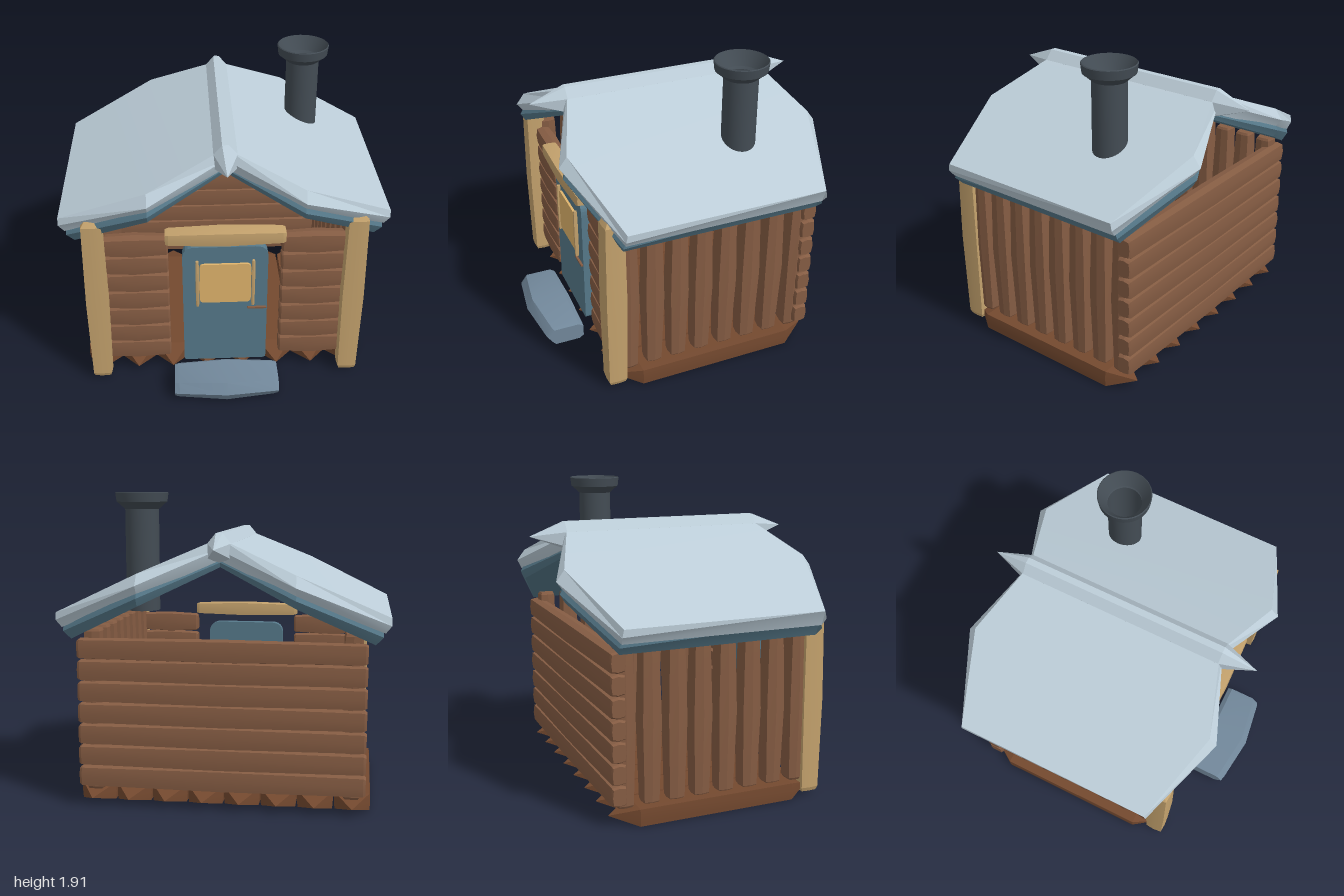
import * as THREE from 'three';
import { toCreasedNormals } from 'three/addons/utils/BufferGeometryUtils.js';

const mat = (color) => new THREE.MeshStandardMaterial({ color });
const WOOD = mat(0x855c43), FLOOR = mat(0x74492f), TAN = mat(0xc4a26d), BLUE = mat(0x56798a);
const SNOW = mat(0xbccdd8), STONE = mat(0x72889b), IRON = mat(0x434c54), GLOW = mat(0xe0b46c);
IRON.side = THREE.DoubleSide;

// Skin a list of closed cross-sections, with flat end caps
function loft(rings, crease = 0.3) {
  const n = rings[0].length, index = [];
  for (let i = 0; i < rings.length - 1; i++) {
    for (let j = 0; j < n; j++) {
      const a = i * n + j, b = i * n + (j + 1) % n;
      index.push(a, b, b + n, a, b + n, a + n);
    }
  }
  const last = (rings.length - 1) * n;
  for (let j = 1; j < n - 1; j++) {
    index.push(0, j + 1, j, last, last + j, last + j + 1);
  }
  const g = new THREE.BufferGeometry();
  g.setAttribute('position', new THREE.Float32BufferAttribute(rings.flat(2), 3));
  g.setIndex(index);
  return toCreasedNormals(g, crease);
}

// Hewn timber along y: stations are [position, scale]; k is the corner fullness
function timber(w, d, stations, k = 0.43) {
  const section = [[0, 0.5], [k, k], [0.5, 0], [k, -k], [0, -0.5], [-k, -k], [-0.5, 0], [-k, k]];
  return loft(stations.map(([y, s]) => section.map(([x, z]) => [x * w * s, y, z * d * s])));
}

// Common station list: small bevel at the ends, swelling to the middle
const swell = (len, end, bevel = 0.015) => [
  [-len / 2, end * 0.85], [-len / 2 + bevel, end], [0, 1], [len / 2 - bevel, end], [len / 2, end * 0.85],
];

function roundedPanel(x0, x1, y0, y1, rBottom, rTop, depth) {
  const s = new THREE.Shape();
  s.moveTo(x0 + rBottom, y0).lineTo(x1 - rBottom, y0);
  s.quadraticCurveTo(x1, y0, x1, y0 + rBottom).lineTo(x1, y1 - rTop);
  s.quadraticCurveTo(x1, y1, x1 - rTop, y1).lineTo(x0 + rTop, y1);
  s.quadraticCurveTo(x0, y1, x0, y1 - rTop).lineTo(x0, y0 + rBottom);
  s.quadraticCurveTo(x0, y0, x0 + rBottom, y0);
  return new THREE.ExtrudeGeometry(s, { depth, bevelEnabled: false, curveSegments: 6 });
}

// Roof layer sloping towards +x: stations are [x, top, bottom, tip half length, inset]
function roofLayer(stations) {
  return loft(stations.map(([x, t, b, h, e, under = 0]) => {
    const m = (t + b) / 2, xb = x - under;
    return [[x, t, -h + e], [x, t, h - e], [x, m, h], [xb, b, h - e], [xb, b, -h + e], [x, m, -h]];
  }), 0.35);
}

export function createModel() {
  const root = new THREE.Group();
  const add = (name, geo, material, pos = [0, 0, 0], rot = [0, 0, 0], parent = root) => {
    const m = new THREE.Mesh(geo, material);
    m.name = name;
    m.position.set(...pos);
    m.rotation.set(...rot);
    parent.add(m);
    return m;
  };
  const Q = Math.PI / 2;

  // Pointed floor beams running front to back
  const beam = timber(0.22, 0.11, [[-0.66, 0.02], [-0.5, 1], [0.5, 1], [0.66, 0.02]], 0.48);
  for (let i = 0; i < 8; i++) {
    add('floorBeam', beam, FLOOR, [-0.791 + i * 0.226, 0.055, -0.06], [Q, 0, 0]);
  }

  // Back wall logs and the two short front wall stacks
  const backLog = timber(0.142, 0.11, swell(1.74, 0.9));
  const frontLog = timber(0.142, 0.11, swell(0.42, 0.86, 0.01));
  for (let i = 0; i < 7; i++) {
    const y = 0.19 + i * 0.132;
    add('backWallLog', backLog, WOOD, [0, y, -0.675], [0, 0, Q]);
    for (const s of [-1, 1]) add('frontWallLog', frontLog, WOOD, [s * 0.56, y, 0.545], [0, 0, Q]);
  }

  // Upright side wall planks
  const plank = timber(0.14, 0.135, swell(1.0, 0.8));
  for (const s of [-1, 1]) {
    for (let i = 0; i < 8; i++) {
      add('sidePlank', plank, WOOD, [s * 0.785, 0.6, 0.5 - i * 0.1605]);
    }
  }

  // Corner posts and door lintel
  const post = timber(0.145, 0.14, [[-0.595, 0.75], [-0.57, 0.88], [0, 1], [0.56, 0.9], [0.595, 0.55]], 0.46);
  for (const s of [-1, 1]) add('cornerPost', post, TAN, [s * 0.8, 0.615, 0.59]);
  add('lintel', timber(0.095, 0.12, swell(0.73, 0.82, 0.02), 0.46), TAN, [0, 1.077, 0.61], [0, 0, Q]);

  // Door with window, window bars and handle
  add('door', roundedPanel(-0.265, 0.265, 0.1, 0.985, 0.02, 0.08, 0.06), BLUE, [0, 0, 0.54]);
  add('doorWindow', roundedPanel(-0.16, 0.16, 0.575, 0.865, 0.03, 0.03, 0.02), GLOW, [0, 0, 0.595]);
  for (const s of [-1, 1]) {
    add('windowBar', timber(0.024, 0.03, swell(0.34, 0.85)), TAN, [s * 0.174, 0.72, 0.612]);
  }
  add('doorHandle', new THREE.BoxGeometry(0.12, 0.01, 0.02), WOOD, [0.2, 0.522, 0.605]);

  // Stone doorstep, fuller in the middle
  const stepRing = (x, h, f) => [
    [x, 0.02, 0.64], [x, h - 0.02, 0.64], [x, h, 0.67], [x, h, f - 0.04],
    [x, h * 0.55, f], [x, 0.02, f - 0.03], [x, 0, f - 0.05], [x, 0, 0.67],
  ];
  add('doorstep', loft([stepRing(-0.33, 0.115, 0.88), stepRing(-0.3, 0.125, 0.89), stepRing(0, 0.147, 0.93),
    stepRing(0.3, 0.125, 0.89), stepRing(0.33, 0.115, 0.88)]), STONE);

  // Roof halves: snow over a blue deck, the second turned about the ridge centre
  const snow = roofLayer([[0, 1.65, 1.52, 0.65, 0.02], [0.46, 1.452, 1.32, 0.84, 0.05],
    [1, 1.2, 1.11, 0.637, 0.01, 0.035]]);
  const deck = roofLayer([[0, 1.535, 1.48, 0.62, 0.01], [0.46, 1.36, 1.262, 0.82, 0.03],
    [0.955, 1.135, 1.04, 0.637, 0.015, 0.045]]);
  for (const turn of [0, Math.PI]) {
    const half = new THREE.Group();
    half.name = 'roofHalf';
    half.position.z = -0.06;
    half.rotation.y = turn;
    root.add(half);
    add('roofSnow', snow, SNOW, undefined, undefined, half);
    add('roofDeck', deck, BLUE, undefined, undefined, half);
  }

  // Ridge cap tapering to a point at both ends
  const cap = [[0.07, 1.53], [0.07, 1.62], [0.02, 1.68], [-0.02, 1.68], [-0.07, 1.62], [-0.07, 1.53], [0, 1.51]];
  const capRing = (z, s) => cap.map(([x, y]) => [x * s, 1.595 + (y - 1.595) * s, z]);
  add('ridgeCap', loft([capRing(-0.93, 0.01), capRing(-0.71, 1), capRing(0.59, 1), capRing(0.81, 0.01)]), SNOW);

  // Chimney pipe with flared open collar
  const profile = [[0.105, 1.18], [0.105, 1.81], [0.15, 1.85], [0.158, 1.855], [0.165, 1.91], [0.16, 1.915], [0.105, 1.83]]
    .map(([r, y]) => new THREE.Vector2(r, y));
  add('chimney', toCreasedNormals(new THREE.LatheGeometry(profile, 32), 0.5), IRON, [0.545, 0, -0.325]);

  return root;
}
